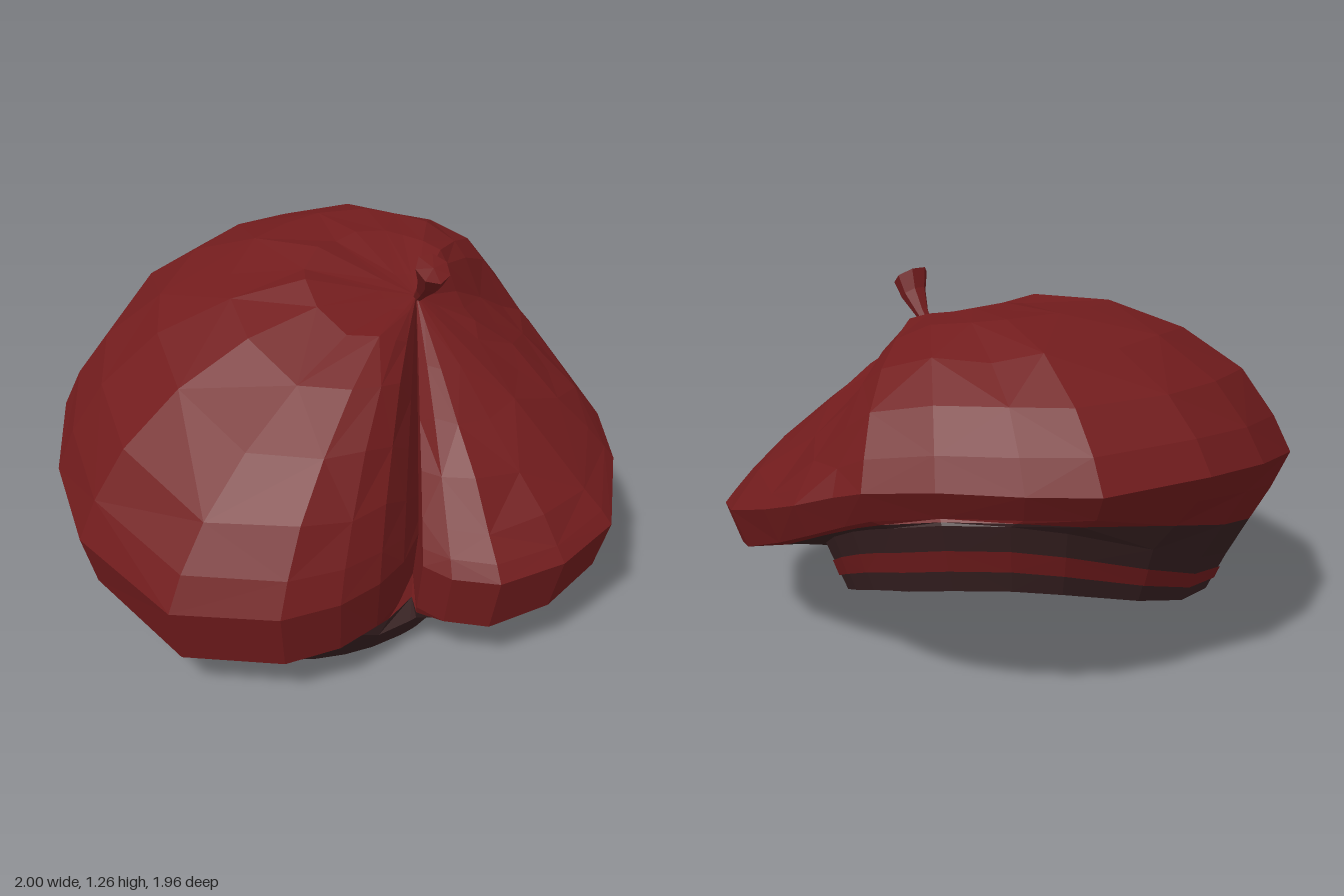
import * as THREE from 'three';

const red = new THREE.MeshStandardMaterial({ color: 0x721c1d });
red.name = 'wine red felt';
const dark = new THREE.MeshStandardMaterial({ color: 0x382122 });
dark.name = 'dark brown lining';

// Rim of the crown, from the front round by +x: [x, y, z, puffiness of the felt above]
const RIM = [
  [-0.06, 0.35, 0.98, 0.23], [0.27, 0.36, 0.85, 0.22], [0.4, 0.37, 0.7, 0.2], [0.46, 0.38, 0.55, 0.18],
  [0.47, 0.38, 0.4, 0.11], [0.45, 0.4, 0.25, 0.02], [0.53, 0.37, 0.38, 0.04], [0.64, 0.36, 0.39, 0.06],
  [0.79, 0.36, 0.34, 0.05], [0.93, 0.37, 0.14, 0.04], [1.0, 0.4, -0.12, 0.03], [0.89, 0.47, -0.45, 0.04],
  [0.76, 0.53, -0.64, 0.05], [0.55, 0.62, -0.8, 0.05], [0.38, 0.7, -0.92, 0.06], [0.24, 0.75, -0.94, 0.17],
  [0.13, 0.79, -0.98, 0.21], [-0.1, 0.82, -0.98, 0.23], [-0.36, 0.83, -0.96, 0.24], [-0.57, 0.83, -0.9, 0.25],
  [-0.83, 0.83, -0.64, 0.25], [-0.95, 0.79, -0.37, 0.26], [-1.0, 0.72, -0.03, 0.29], [-0.96, 0.59, 0.35, 0.3],
  [-0.8, 0.48, 0.6, 0.33], [-0.5, 0.42, 0.86, 0.29],
];
const N = RIM.length;
const APEX = new THREE.Vector3(0.24, 1.09, -0.12);

let seed = 7;
const jitter = (a) => {
  seed = (seed * 16807) % 2147483647;
  return (seed / 2147483647 - 0.5) * a;
};

// Faceted skin over a list of equally long closed rings, optionally only a span of them
function loft(name, rings, material, from = 0, to = rings[0].length) {
  const pos = [];
  const n = rings[0].length;
  const tri = (...pts) => pts.forEach((p) => pos.push(p.x, p.y, p.z));
  for (let i = 0; i < rings.length - 1; i++) {
    for (let j = from; j < to; j++) {
      const k = (j + 1) % n;
      const a = rings[i][j], b = rings[i + 1][j], c = rings[i + 1][k], d = rings[i][k];
      if ((i + j) % 2) {
        tri(a, b, c);
        tri(a, c, d);
      } else {
        tri(a, b, d);
        tri(b, c, d);
      }
    }
  }
  const geo = new THREE.BufferGeometry();
  geo.setAttribute('position', new THREE.Float32BufferAttribute(pos, 3));
  geo.computeVertexNormals();
  const mesh = new THREE.Mesh(geo, material);
  mesh.name = name;
  return mesh;
}

export function createModel() {
  const group = new THREE.Group();
  group.name = 'beret';

  const rim = RIM.map(([x, y, z]) => new THREE.Vector3(x, y, z));

  // Headband: an ellipse with one point under each rim point, sweeping up to the back and to -x
  let last = Infinity;
  const angles = RIM.map(([x, , z]) => {
    let a = Math.atan2(z + 0.08, x + 0.12);
    while (a > last + 2) a -= Math.PI * 2;
    last = Math.min(a, last - 0.03);
    return last;
  });
  const bandRing = (h, scale = 1) => angles.map((a) => {
    const x = -0.12 + 0.64 * scale * Math.cos(a);
    const z = -0.08 + 0.8 * scale * Math.sin(a);
    const sweep = 0.45 * (Math.abs(0.45 - z) / 1.33) ** 2.1;
    return new THREE.Vector3(x, 0.005 + sweep + 0.17 * Math.max(0, -x) + h * (0.13 - 0.06 * z), z);
  });
  const bandTop = bandRing(1, 1.08);

  // Crown: puffed rows from the apex to the rim, then tucked under
  const rows = [[0, 0], [0.1, 0.25], [0.3, 0.77], [0.5, 1], [0.7, 1], [0.86, 0.74], [0.95, 0.36], [1, 0]];
  const crown = rows.map(([t, f]) => rim.map((p, j) => {
    const v = APEX.clone().lerp(p, t);
    const loose = t > 0.2 && t < 0.9 ? 0.025 : 0;
    v.y += RIM[j][3] * f + jitter(loose);
    return v;
  }));
  const lower = rim.map((p) => {
    const drop = 0.15 + 0.05 * p.z + 0.03 * p.x;
    return new THREE.Vector3(p.x * 0.95, p.y - drop, p.z * 0.95);
  });
  const tuck = lower.map((p, j) => p.clone().lerp(bandTop[j], 0.5));
  group.add(loft('crown', [...crown, lower, tuck], red));

  // Band, closed below by the dark lining
  const base = bandRing(0, 0.98);
  const centre = new THREE.Vector3();
  base.forEach((p) => centre.addScaledVector(p, 1 / N));
  group.add(loft('headband', [tuck, bandTop, bandRing(0.5, 1.03), base], dark));
  group.add(loft('lining', [base, base.map(() => centre)], dark));

  // Narrow red strip along the back and the -x side of the band
  group.add(loft('bandStrip', [bandRing(0.62, 1.05), bandRing(0.3, 1.022)], red, 12, 24));

  // Stem: a bent, flaring stalk on the apex
  const stemRows = [
    [0.34, 1.235, -0.035, 0], [0.335, 1.23, -0.04, 0.062], [0.315, 1.175, -0.065, 0.045],
    [0.275, 1.12, -0.1, 0.025], [0.23, 1.065, -0.13, 0.012],
  ];
  const axis = new THREE.Vector3(0.5, 0.8, 0.35).normalize();
  const u = new THREE.Vector3(0, 0, 1).cross(axis).normalize();
  const w = u.clone().cross(axis);
  const stem = stemRows.map(([x, y, z, r]) => Array.from({ length: 7 }, (_, i) => {
    const a = (-i / 7) * Math.PI * 2;
    return new THREE.Vector3(x, y, z).addScaledVector(u, r * Math.cos(a)).addScaledVector(w, r * Math.sin(a));
  }));
  group.add(loft('stem', stem, red));

  return group;
}
